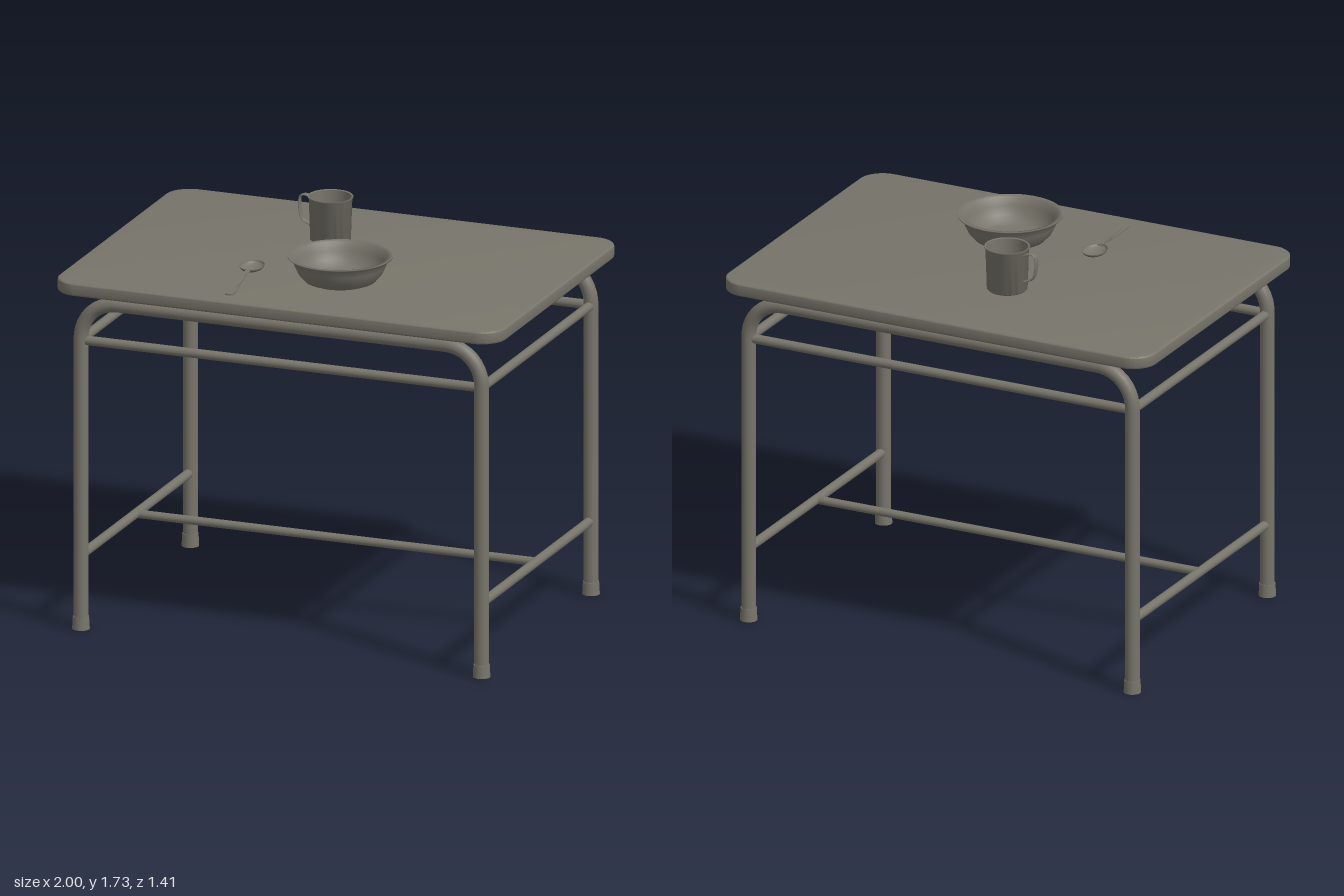
import * as THREE from 'three';
import { toCreasedNormals } from 'three/addons/utils/BufferGeometryUtils.js';

const V2 = (x, y) => new THREE.Vector2(x, y);
const V3 = (x, y, z) => new THREE.Vector3(x, y, z);

export function createModel() {
  const model = new THREE.Group();
  const metal = new THREE.MeshStandardMaterial({ color: 0x77746a, side: THREE.DoubleSide });
  metal.name = 'warm grey';

  function add(name, geometry, x = 0, y = 0, z = 0, parent = model) {
    const mesh = new THREE.Mesh(geometry, metal);
    mesh.name = name;
    mesh.position.set(x, y, z);
    parent.add(mesh);
    return mesh;
  }

  // Straight round rail between two points
  function rail(name, a, b, radius) {
    const mesh = add(name, new THREE.CylinderGeometry(radius, radius, a.distanceTo(b), 20));
    mesh.position.copy(a).lerp(b, 0.5);
    mesh.quaternion.setFromUnitVectors(V3(0, 1, 0), b.clone().sub(a).normalize());
  }

  // Tabletop with rounded corners and softened edges
  const bevel = 0.008, w = 1 - bevel, d = 0.705 - bevel, r = 0.1;
  const outline = new THREE.Shape();
  outline.absarc(w - r, d - r, r, 0, Math.PI / 2);
  outline.absarc(-w + r, d - r, r, Math.PI / 2, Math.PI);
  outline.absarc(-w + r, -d + r, r, Math.PI, Math.PI * 1.5);
  outline.absarc(w - r, -d + r, r, Math.PI * 1.5, Math.PI * 2);
  outline.closePath();
  const top = new THREE.ExtrudeGeometry(outline, {
    depth: 0.055 - 2 * bevel, bevelThickness: bevel, bevelSize: bevel, bevelSegments: 3, curveSegments: 12,
  });
  top.rotateX(-Math.PI / 2);
  add('tabletop', toCreasedNormals(top, 0.6), 0, 1.475 + bevel, 0);

  // Bent tube frames, front and back
  const legX = 0.897, legZ = 0.615, barY = 1.43, bend = 0.16;
  for (const z of [legZ, -legZ]) {
    const side = z > 0 ? 'front' : 'back';
    const points = [V3(-legX, 0.03, z)];
    for (let i = 0; i <= 10; i++) {
      const a = Math.PI - (i / 10) * Math.PI / 2;
      points.push(V3(-legX + bend + bend * Math.cos(a), barY - bend + bend * Math.sin(a), z));
    }
    for (let i = 0; i <= 10; i++) {
      const a = Math.PI / 2 - (i / 10) * Math.PI / 2;
      points.push(V3(legX - bend + bend * Math.cos(a), barY - bend + bend * Math.sin(a), z));
    }
    points.push(V3(legX, 0.03, z));
    const path = new THREE.CurvePath();
    for (let i = 1; i < points.length; i++) path.add(new THREE.LineCurve3(points[i - 1], points[i]));
    add(side + 'LegFrame', new THREE.TubeGeometry(path, 160, 0.031, 20));
    rail(side + 'UpperRail', V3(-legX, 1.26, z), V3(legX, 1.26, z), 0.02);

    // Foot caps
    for (const x of [-legX, legX]) {
      add(side + 'FootCap', new THREE.CylinderGeometry(0.034, 0.037, 0.055, 20), x, 0.0275, z);
    }
  }

  // Side rails and central stretcher
  for (const x of [-legX, legX]) {
    rail('sideUpperRail', V3(x, 1.26, -legZ), V3(x, 1.26, legZ), 0.02);
    rail('sideLowerRail', V3(x, 0.32, -legZ), V3(x, 0.32, legZ), 0.02);
  }
  rail('centreStretcher', V3(-legX, 0.32, 0), V3(legX, 0.32, 0), 0.018);

  // Bowl with a turned-out rim
  const bowl = [
    [0, 0.002], [0.125, 0.002], [0.15, 0.012], [0.175, 0.04], [0.192, 0.075], [0.2, 0.105], [0.22, 0.112],
    [0.22, 0.117], [0.197, 0.113], [0.185, 0.078], [0.168, 0.044], [0.145, 0.02], [0.12, 0.01], [0, 0.008],
  ].map(([x, y]) => V2(x, y));
  add('bowl', new THREE.LatheGeometry(bowl, 48), 0.125, 1.529, 0.265);

  // Mug
  const mug = new THREE.Group();
  mug.name = 'mug';
  mug.position.set(-0.122, 1.53, -0.245);
  model.add(mug);
  const cup = [
    [0, 0.001], [0.078, 0.001], [0.085, 0.008], [0.091, 0.186], [0.095, 0.19], [0.095, 0.195],
    [0.088, 0.193], [0.081, 0.014], [0, 0.01],
  ].map(([x, y]) => V2(x, y));
  add('mugCup', toCreasedNormals(new THREE.LatheGeometry(cup, 40).toNonIndexed(), 0.8), 0, 0, 0, mug);

  // Flat strap handle
  const strap = new THREE.CatmullRomCurve3([
    V3(-0.086, 0.172, 0), V3(-0.115, 0.184, 0), V3(-0.138, 0.178, 0), V3(-0.144, 0.155, 0),
    V3(-0.141, 0.11, 0), V3(-0.128, 0.075, 0), V3(-0.085, 0.055, 0),
  ]);
  const handle = new THREE.TubeGeometry(strap, 40, 0.004, 10);
  handle.scale(1, 1, 4);
  add('mugHandle', handle, 0, 0, -0.015, mug);

  // Spoon, lying with its handle toward the front edge
  const spoon = new THREE.Group();
  spoon.name = 'spoon';
  spoon.position.set(-0.27, 1.532, 0.265);
  spoon.rotation.y = 0.1;
  model.add(spoon);
  const scoop = new THREE.SphereGeometry(1, 28, 10, 0, Math.PI * 2, Math.PI / 2, Math.PI / 2);
  scoop.scale(0.051, 0.024, 0.07);
  add('spoonScoop', scoop, 0, 0.024, 0, spoon);
  const stem = new THREE.Shape();
  stem.setFromPoints([V2(-0.012, -0.062), V2(0.012, -0.062)]);
  stem.splineThru([V2(0.006, -0.11), V2(0.007, -0.2), V2(0.018, -0.29), V2(0.017, -0.345), V2(0, -0.358)]);
  stem.splineThru([V2(-0.017, -0.345), V2(-0.018, -0.29), V2(-0.007, -0.2), V2(-0.006, -0.11), V2(-0.012, -0.062)]);
  const stemGeometry = new THREE.ExtrudeGeometry(stem, { depth: 0.006, bevelEnabled: false, curveSegments: 24 });
  stemGeometry.rotateX(-Math.PI / 2);
  // Slope the stem down from the scoop to the table
  const p = stemGeometry.attributes.position;
  for (let i = 0; i < p.count; i++) {
    const t = THREE.MathUtils.smoothstep(p.getZ(i), 0.06, 0.2);
    p.setY(i, p.getY(i) + 0.017 * (1 - t));
  }
  add('spoonHandle', toCreasedNormals(stemGeometry, 0.7), 0, 0, 0, spoon);

  return model;
}
